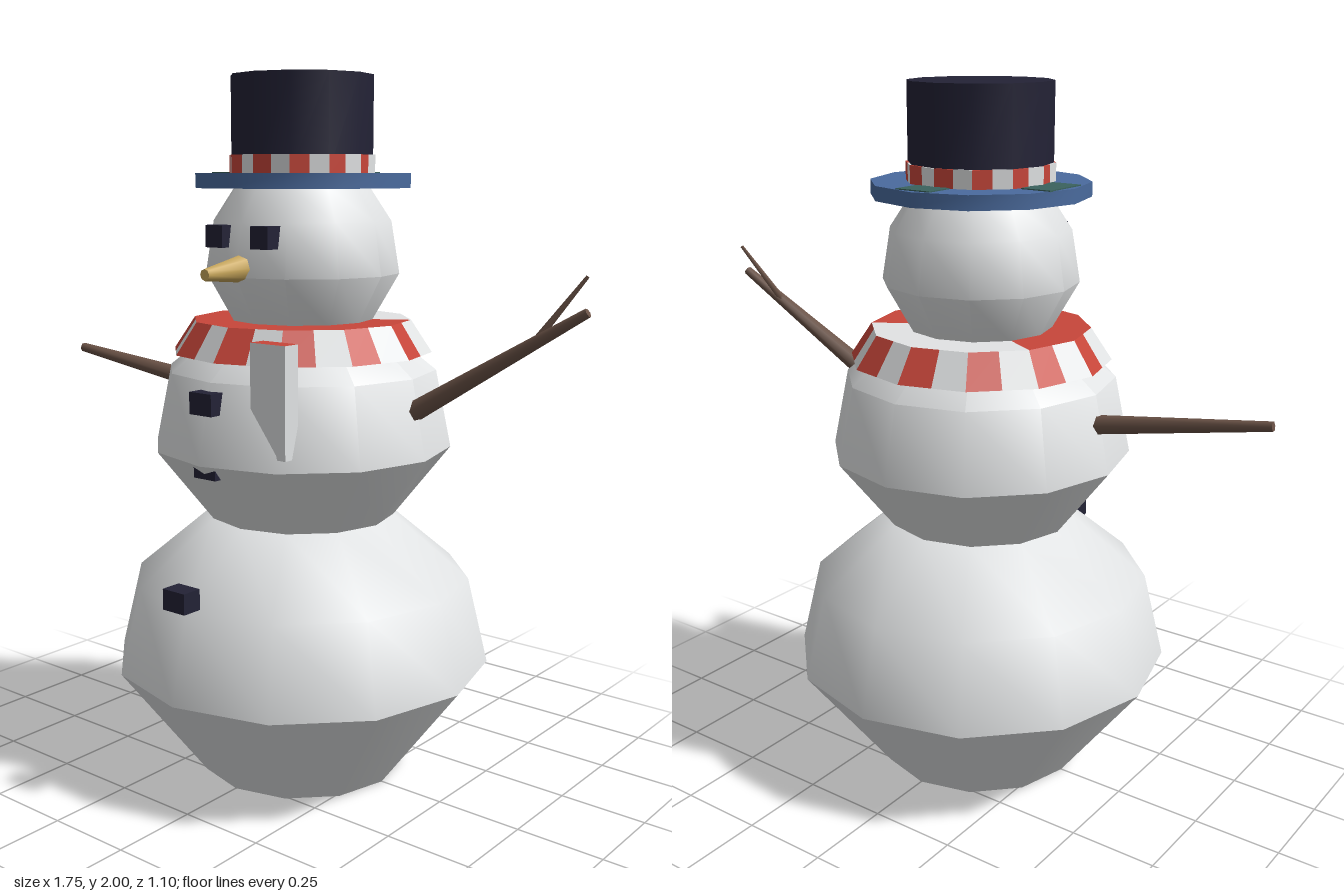
import * as THREE from 'three';
import { toCreasedNormals } from 'three/addons/utils/BufferGeometryUtils.js';

const SIDES = 12;

function material(name, color) {
  const m = new THREE.MeshStandardMaterial({ color });
  m.name = name;
  return m;
}

// Ring of twelve flat sides, each side half one colour and half the other.
// pick(sector, segment) returns the index of the material.
function stripedRing(profile, pick, materials) {
  const geometry = new THREE.BufferGeometry();
  const positions = [];
  const at = (step, [r, y]) => {
    const a = Math.floor(step / 2) * Math.PI * 2 / SIDES;
    const p = new THREE.Vector3(Math.sin(a) * r, y, Math.cos(a) * r);
    if (step % 2) {
      const b = a + Math.PI * 2 / SIDES;
      p.lerp(new THREE.Vector3(Math.sin(b) * r, y, Math.cos(b) * r), 0.5);
    }
    return p;
  };
  for (let s = 0; s < SIDES * 2; s++) {
    for (let k = 0; k < profile.length - 1; k++) {
      const a = at(s, profile[k]), b = at(s + 1, profile[k]);
      const c = at(s + 1, profile[k + 1]), d = at(s, profile[k + 1]);
      geometry.addGroup(positions.length / 3, 6, pick(s, k));
      for (const p of [a, b, c, a, c, d]) positions.push(p.x, p.y, p.z);
    }
  }
  geometry.setAttribute('position', new THREE.Float32BufferAttribute(positions, 3));
  geometry.computeVertexNormals();
  return new THREE.Mesh(geometry, materials);
}

export function createModel() {
  const model = new THREE.Group();
  model.name = 'snowman';

  const snow = material('snow white', 0xe2e4e5);
  const coal = material('coal black', 0x232236);
  const red = material('scarf red', 0xc8463a);
  const blue = material('brim blue', 0x4a6b9e);
  const teal = material('patch teal', 0x3a625e);
  const wood = material('twig brown', 0x6b5347);
  const carrot = material('carrot gold', 0xcba95c);

  const add = (mesh, name) => {
    mesh.name = name;
    model.add(mesh);
    return mesh;
  };
  const box = (name, mat, w, h, d, x, y, z) =>
    add(new THREE.Mesh(new THREE.BoxGeometry(w, h, d), mat), name).position.set(x, y, z);

  // Tapered rod between two points
  const rod = (name, mat, from, to, r0, r1, sides) => {
    const a = new THREE.Vector3(...from), b = new THREE.Vector3(...to);
    const dir = b.clone().sub(a);
    const geometry = new THREE.CylinderGeometry(r1, r0, dir.length(), sides);
    const mesh = add(new THREE.Mesh(geometry, mat), name);
    mesh.position.copy(a).add(b).multiplyScalar(0.5);
    mesh.quaternion.setFromUnitVectors(new THREE.Vector3(0, 1, 0), dir.normalize());
  };

  // Three faceted snowballs
  const snowballs = {
    lowerBody: [[0, 0], [0.3, 0], [0.55, 0.33], [0.49, 0.58], [0.27, 0.765], [0, 0.77]],
    middleBody: [[0, 0.76], [0.27, 0.765], [0.43, 0.97], [0.385, 1.19], [0.22, 1.32], [0, 1.32]],
    head: [[0, 1.3], [0.2, 1.325], [0.277, 1.46], [0.253, 1.605], [0.19, 1.7], [0, 1.7]],
  };
  for (const [name, profile] of Object.entries(snowballs)) {
    const lathe = new THREE.LatheGeometry(profile.map(p => new THREE.Vector2(...p)), SIDES);
    add(new THREE.Mesh(toCreasedNormals(lathe, Math.PI / 4), snow), name);
  }

  // Top hat: brim with two patches, crown and striped band
  const disc = (name, mat, r, y0, y1) => {
    const g = toCreasedNormals(new THREE.CylinderGeometry(r, r, y1 - y0, SIDES), Math.PI / 4);
    add(new THREE.Mesh(g, mat), name).position.y = (y0 + y1) / 2;
  };
  disc('hatBrim', blue, 0.305, 1.695, 1.735);
  disc('hatCrown', coal, 0.2, 1.735, 2);
  box('brimPatchSide', teal, 0.09, 0.004, 0.15, -0.24, 1.736, -0.015);
  box('brimPatchBack', teal, 0.11, 0.004, 0.085, 0.01, 1.736, -0.242);
  add(stripedRing([[0.206, 1.735], [0.206, 1.785], [0.19, 1.785]],
    s => s % 2, [red, snow]), 'hatBand');

  // Scarf: striped outside, red top with a pale stretch at the back
  add(stripedRing([[0.3, 1.24], [0.372, 1.24], [0.312, 1.33], [0.18, 1.33]],
    (s, k) => (k === 2 ? (s >= 8 && s < 16 ? 1 : 0) : s % 2), [red, snow]), 'scarf');
  box('scarfTail', [snow, snow, red, snow, snow, snow], 0.118, 0.3, 0.052, 0.182, 1.155, 0.338);

  // Eyes and buttons
  for (const side of [1, -1]) {
    box(side > 0 ? 'leftEye' : 'rightEye', coal, 0.06, 0.06, 0.055, 0.08 * side, 1.568, 0.25);
  }
  box('topButton', coal, 0.078, 0.06, 0.07, 0, 1.137, 0.39);
  box('middleButton', coal, 0.078, 0.06, 0.06, 0, 0.962, 0.382);
  box('bottomButton', coal, 0.078, 0.058, 0.06, 0, 0.622, 0.508);

  // Carrot nose
  rod('nose', carrot, [0, 1.485, 0.24], [0, 1.475, 0.4], 0.04, 0.016, 8);

  // Twig arms, the left one forked
  rod('rightArm', wood, [-0.36, 1.103, -0.003], [-0.875, 1.18, 0.05], 0.029, 0.014, 6);
  rod('leftArm', wood, [0.37, 1.09, 0.002], [0.865, 1.397, -0.055], 0.03, 0.013, 6);
  rod('leftTwig', wood, [0.725, 1.31, -0.04], [0.838, 1.482, -0.1], 0.011, 0.005, 5);

  return model;
}
